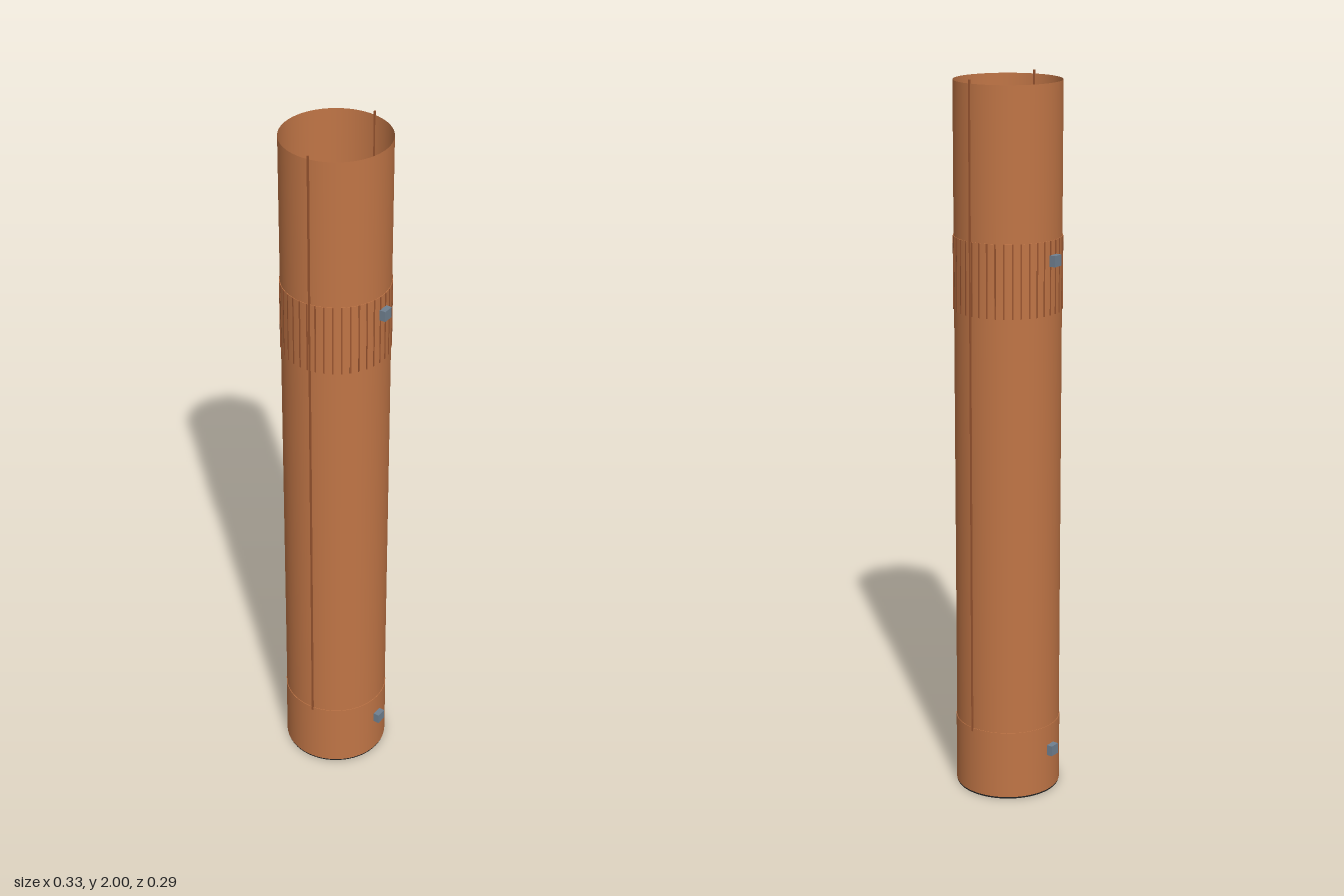
import * as THREE from 'three';

export function createModel() {
  const model = new THREE.Group();
  const copper = new THREE.MeshStandardMaterial({ name: 'copper', color: 0xc07546, side: THREE.DoubleSide });
  const seamBrown = new THREE.MeshStandardMaterial({ name: 'seamBrown', color: 0x9a5530 });
  const steel = new THREE.MeshStandardMaterial({ name: 'steel', color: 0x708090 });
  const black = new THREE.MeshStandardMaterial({ name: 'black', color: 0x222222 });

  const add = (name, geometry, material, x = 0, y = 0, z = 0) => {
    const mesh = new THREE.Mesh(geometry, material);
    mesh.name = name;
    mesh.position.set(x, y, z);
    model.add(mesh);
    return mesh;
  };
  // Open-ended cylinder wall between two heights
  const wall = (name, radius, y0, y1) =>
    add(name, new THREE.CylinderGeometry(radius, radius, y1 - y0, 64, 1, true), copper, 0, (y0 + y1) / 2);

  // Main tube, open at the top, with its two sleeves
  wall('tube', 0.145, 0.005, 1.99);
  wall('lowerSleeve', 0.1465, 0.005, 0.2);
  wall('upperSleeve', 0.1465, 1.38, 1.58);
  for (const [name, y] of [['lowerSleeveTop', 0.2], ['upperSleeveBottom', 1.38], ['upperSleeveTop', 1.58]]) {
    add(name, new THREE.RingGeometry(0.1445, 0.1465, 64), copper, 0, y).rotation.x = -Math.PI / 2;
  }

  // Closed bottom
  add('bottomCap', new THREE.CylinderGeometry(0.145, 0.145, 0.01, 64), black, 0, 0.005);

  // Long seams on the front and back
  for (const side of [1, -1]) {
    add(side > 0 ? 'frontSeam' : 'backSeam', new THREE.BoxGeometry(0.005, 1.81, 0.004), seamBrown,
      0.018, 1.095, side * 0.145);
  }

  // Fine ribs around the upper sleeve
  const ribGeometry = new THREE.BoxGeometry(0.004, 0.2, 0.002);
  const ribCount = 40;
  for (let i = 0; i < ribCount; i++) {
    const a = ((i + 0.5) / ribCount) * Math.PI * 2;
    add('sleeveRib', ribGeometry, seamBrown, Math.sin(a) * 0.1465, 1.48, Math.cos(a) * 0.1465).rotation.y = a;
  }

  // Square studs on both sides
  const studGeometry = new THREE.BoxGeometry(0.02, 0.03, 0.03);
  for (const side of [1, -1]) {
    for (const y of [0.127, 1.527]) {
      add(side > 0 ? 'leftStud' : 'rightStud', studGeometry, steel, side * 0.153, y);
    }
  }
  return model;
}
